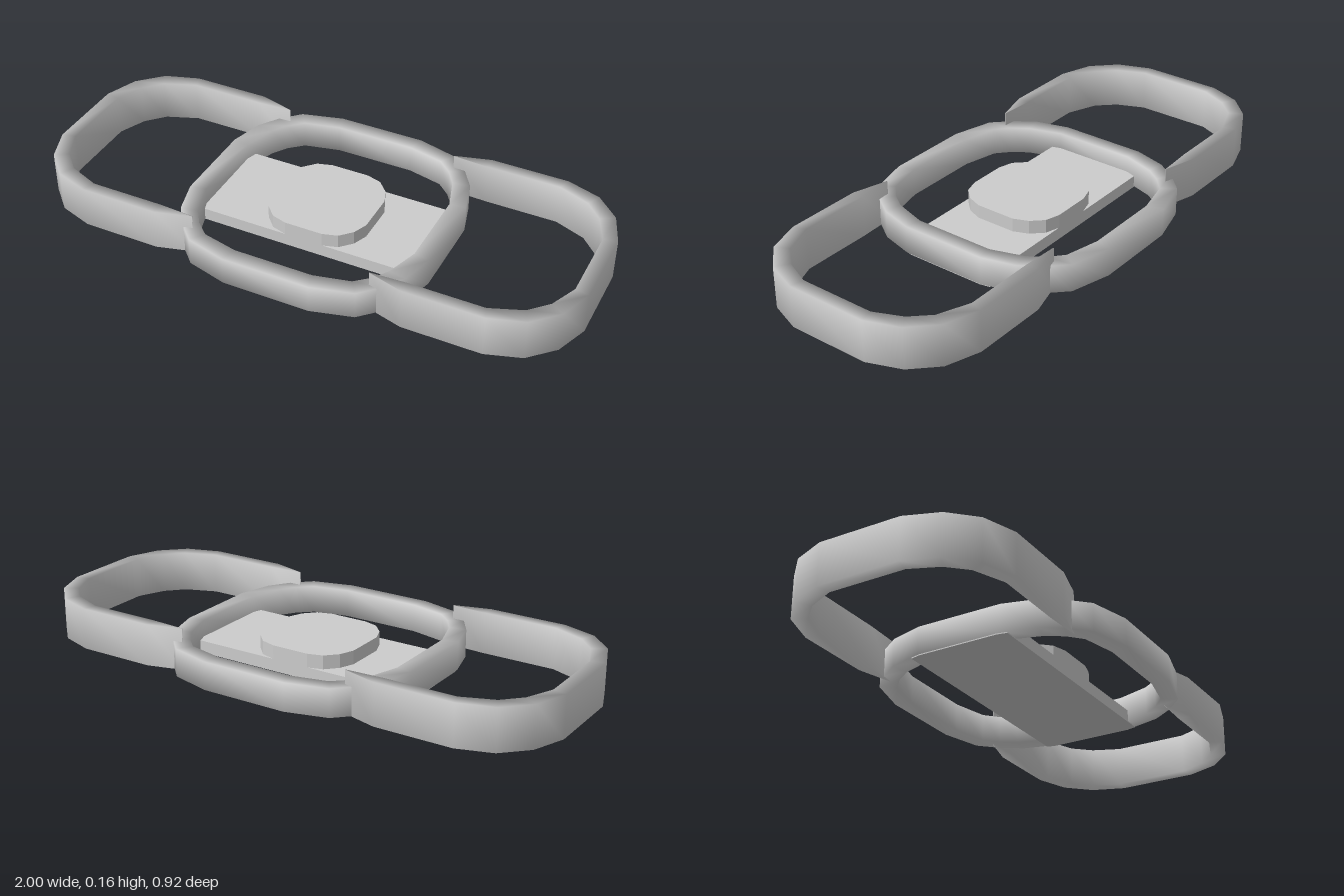
import * as THREE from 'three';

const grey = new THREE.MeshStandardMaterial({ color: 0xcccccc });

// Band with a rectangular section swept along paired outer / inner [x, z] outlines.
// Shared vertices give soft shading around the section.
function band(name, outer, inner, y0, y1, closed) {
  const pos = [], idx = [], n = outer.length;
  for (let i = 0; i < n; i++) {
    const [ox, oz] = outer[i], [ix, iz] = inner[i];
    pos.push(ox, y1, oz, ox, y0, oz, ix, y0, iz, ix, y1, iz);
  }
  for (let i = 0; i < (closed ? n : n - 1); i++) {
    const s = i * 4, t = ((i + 1) % n) * 4;
    for (let k = 0; k < 4; k++) {
      const m = (k + 1) % 4;
      idx.push(s + k, s + m, t + m, s + k, t + m, t + k);
    }
  }
  if (!closed) {
    const e = (n - 1) * 4;
    idx.push(0, 2, 1, 0, 3, 2, e, e + 1, e + 2, e, e + 2, e + 3);
  }
  const geo = new THREE.BufferGeometry();
  geo.setAttribute('position', new THREE.Float32BufferAttribute(pos, 3));
  geo.setIndex(idx);
  geo.computeVertexNormals();
  const mesh = new THREE.Mesh(geo, grey);
  mesh.name = name;
  return mesh;
}

// Mirrors a run of points in z and appends it in reverse order
const mirrorZ = pts => [...pts, ...pts.slice().reverse().map(([x, z]) => [x, -z])];

// Completes a half outline (x >= 0) to a full loop
const fullLoop = quarter => {
  const half = mirrorZ(quarter);
  return [...half, ...half.map(([x, z]) => [-x, -z])];
};

// Flat slab with a polygonal outline in the ground plane
function slab(name, pts, y0, y1) {
  const shape = new THREE.Shape(pts.map(([x, z]) => new THREE.Vector2(x, -z)));
  const geo = new THREE.ExtrudeGeometry(shape, { depth: y1 - y0, bevelEnabled: false });
  geo.rotateX(-Math.PI / 2);
  geo.translate(0, y0, -0.004);
  const mesh = new THREE.Mesh(geo, grey);
  mesh.name = name;
  return mesh;
}

export function createModel() {
  const model = new THREE.Group();
  model.name = 'tripleRing';

  // Central ring
  const ringOuter = [[0.16, 0.46], [0.31, 0.42], [0.375, 0.355], [0.425, 0.28], [0.458, 0.16]];
  const ringInner = [[0.145, 0.4], [0.275, 0.37], [0.325, 0.325], [0.362, 0.27], [0.4, 0.15]];
  model.add(band('centreRing', fullLoop(ringOuter), fullLoop(ringInner), 0.004, 0.106, true));

  // Open side loops, tapering to a thin edge where they meet the ring
  const loopOuter = [[0.33, 0.36], [0.46, 0.396], [0.745, 0.396], [0.87, 0.355], [0.955, 0.27], [1, 0.15]];
  const loopInner = [[0.33, 0.357], [0.46, 0.35], [0.73, 0.35], [0.845, 0.305], [0.907, 0.24], [0.95, 0.14]];
  for (const side of ['left', 'right']) {
    const loop = band(side + 'Loop', mirrorZ(loopOuter), mirrorZ(loopInner), 0.003, 0.155, false);
    if (side === 'right') loop.rotation.y = Math.PI;
    model.add(loop);
  }

  // Plate across the ring and the raised pad on it
  model.add(slab('crossPlate', fullLoop([[0.448, 0.186], [0.456, 0.15]]), 0, 0.045));
  model.add(slab('centrePad',
    fullLoop([[0.07, 0.186], [0.125, 0.17], [0.165, 0.128], [0.186, 0.075]]), 0.04, 0.095));

  return model;
}
